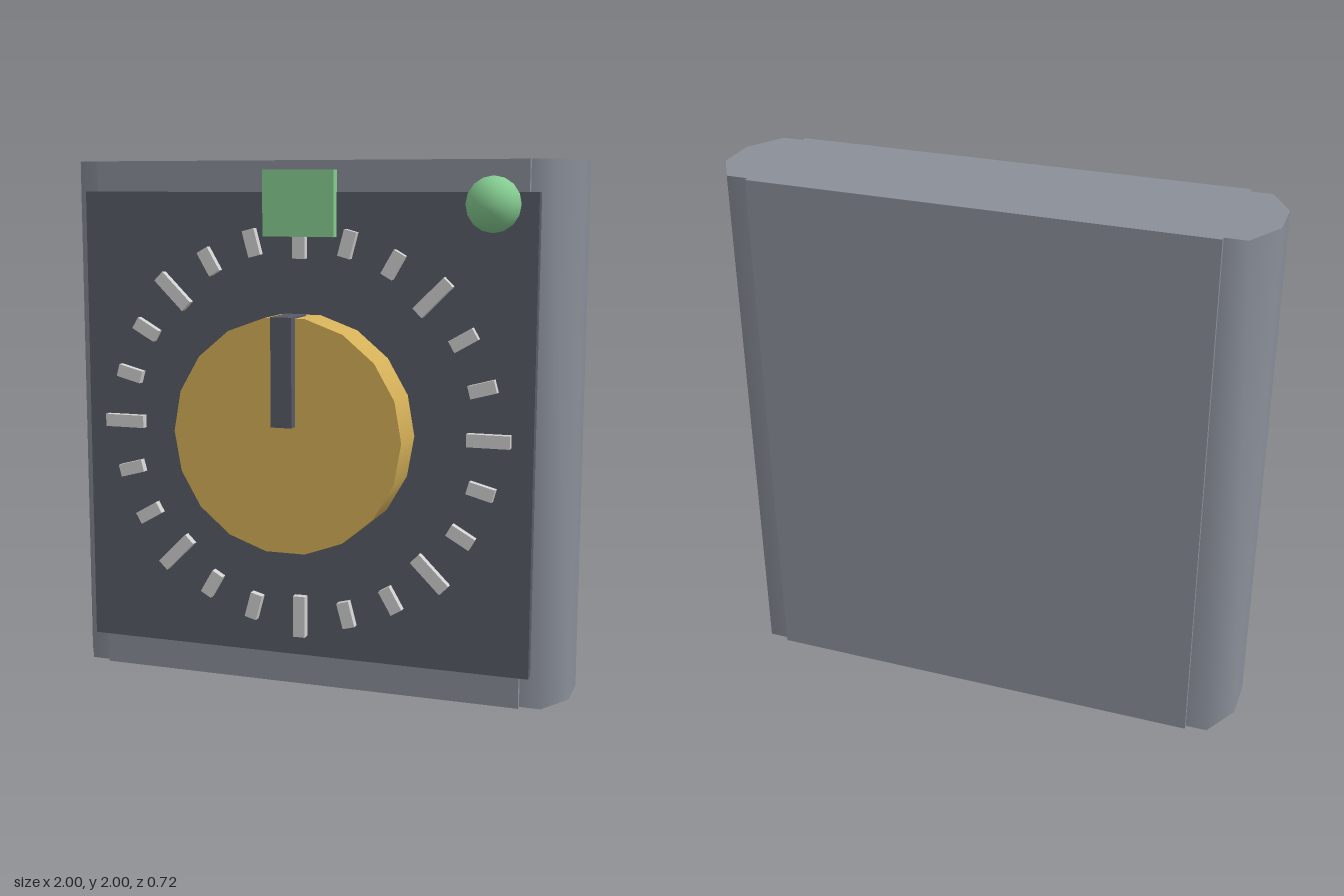
import * as THREE from 'three';
import { toCreasedNormals } from 'three/addons/utils/BufferGeometryUtils.js';

const paint = (name, color) => {
  const m = new THREE.MeshStandardMaterial({ color });
  m.name = name;
  return m;
};

export function createModel() {
  const model = new THREE.Group();
  model.name = 'dialTimer';
  const grey = paint('casing grey', 0x8a8f99);
  const dark = paint('panel charcoal', 0x585b66);
  const gold = paint('knob gold', 0xd4b058);
  const green = paint('indicator green', 0x85cc91);
  const silver = paint('tick silver', 0xd0d0d0);

  const add = (name, geometry, material, parent = model) => {
    const mesh = new THREE.Mesh(geometry, material);
    mesh.name = name;
    parent.add(mesh);
    return mesh;
  };
  // Box given by its extents on each axis
  const box = (name, [x0, x1], [y0, y1], [z0, z1], material) => {
    const mesh = add(name, new THREE.BoxGeometry(x1 - x0, y1 - y0, z1 - z0), material);
    mesh.position.set((x0 + x1) / 2, (y0 + y1) / 2, (z0 + z1) / 2);
    return mesh;
  };

  // Casing: thick slab with bevelled, smooth-shaded side columns
  box('casing', [-0.84, 0.84], [0, 2], [-0.36, 0.12], grey);
  for (const side of [-1, 1]) {
    const section = [[0.8, -0.22], [0.92, -0.22], [1, -0.08], [1, 0.08], [0.92, 0.22], [0.8, 0.22]];
    const shape = new THREE.Shape(section.map(([x, y]) => new THREE.Vector2(side * x, y)));
    const column = new THREE.ExtrudeGeometry(shape, { depth: 2, bevelEnabled: false });
    column.rotateX(-Math.PI / 2);
    const mesh = add(side > 0 ? 'leftColumn' : 'rightColumn', toCreasedNormals(column, 1.2), grey);
    mesh.position.z = -0.122;
  }

  // Front panel
  box('frontPanel', [-0.88, 0.88], [0.125, 1.885], [0.105, 0.145], dark);

  // Ring of tick marks, every third one long
  const ticks = new THREE.Group();
  ticks.name = 'tickRing';
  ticks.position.set(0, 1.003, 0.157);
  model.add(ticks);
  for (let i = 0; i < 24; i++) {
    const angle = (i / 24) * Math.PI * 2;
    const length = i % 3 === 0 ? 0.16 : 0.1;
    const tick = add('tick', new THREE.BoxGeometry(length, 0.048, 0.036), silver, ticks);
    tick.position.set(Math.cos(angle) * 0.72, Math.sin(angle) * 0.72, 0);
    tick.rotation.z = angle;
  }

  // Knob with its pointer
  const disc = new THREE.CylinderGeometry(0.44, 0.44, 0.18, 18);
  disc.rotateY(Math.PI / 2).rotateX(Math.PI / 2);
  add('knob', disc, gold).position.set(0, 1.003, 0.23);
  box('pointer', [-0.04, 0.04], [1.043, 1.443], [0.2, 0.36], dark);

  // Indicator plate and lamp
  box('indicatorPlate', [-0.138, 0.138], [1.723, 1.965], [0.14, 0.18], green);
  add('lamp', new THREE.SphereGeometry(0.1, 10, 8), green).position.set(0.72, 1.843, 0.16);

  return model;
}
